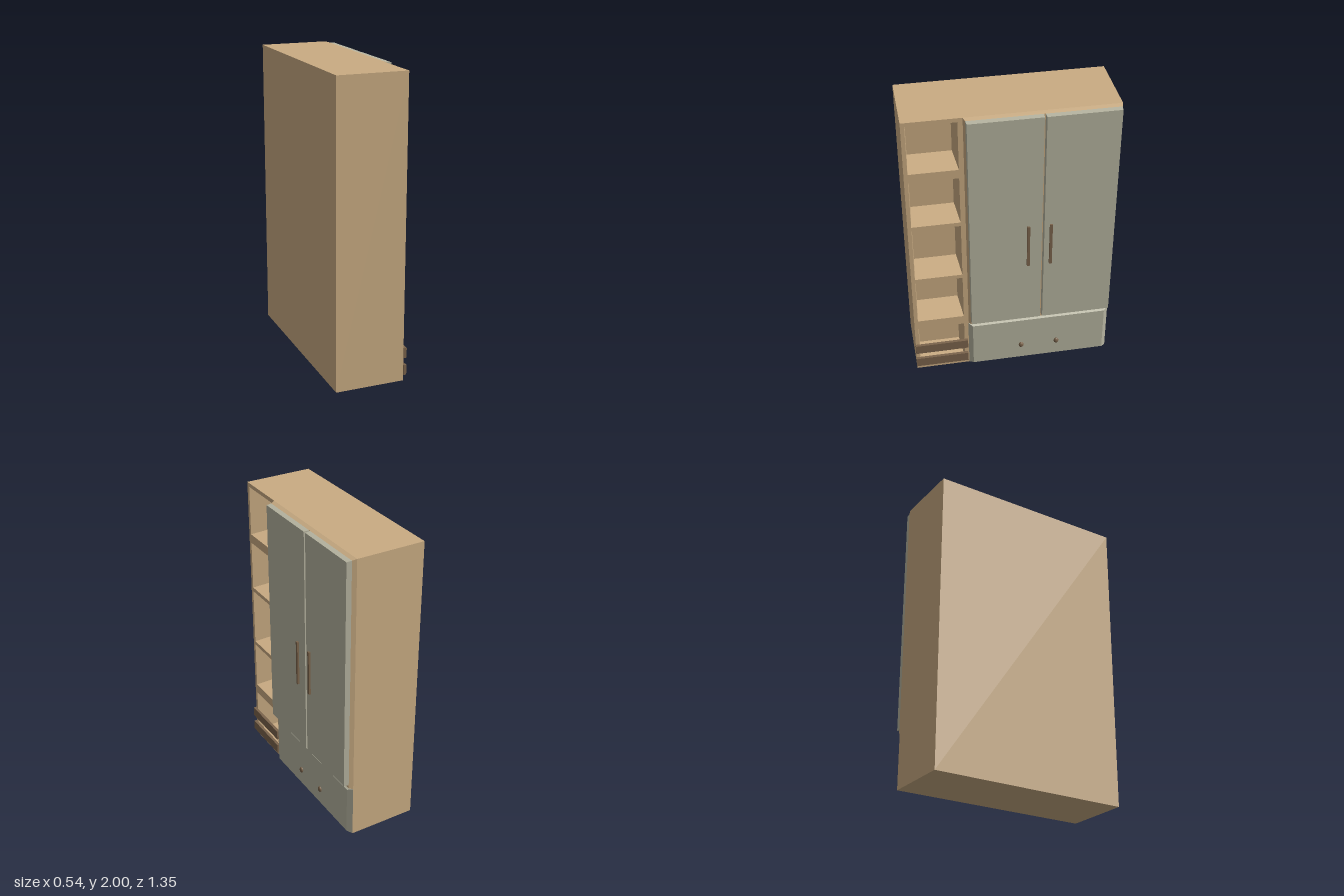
import * as THREE from 'three';

const BACK = -0.27, FRONT = 0.192; // carcass depth range along x
const Z = 0.673, H = 2;            // half width and height

const tanWood = new THREE.MeshStandardMaterial({ color: 0xcaac83 });
tanWood.name = 'tanWood';
const sagePaint = new THREE.MeshStandardMaterial({ color: 0xb6b4a0 });
sagePaint.name = 'sagePaint';
const darkWood = new THREE.MeshStandardMaterial({ color: 0x7b644c });
darkWood.name = 'darkWood';

function add(group, name, geometry, material, x = 0, y = 0, z = 0) {
  const mesh = new THREE.Mesh(geometry, material);
  mesh.name = name;
  mesh.position.set(x, y, z);
  group.add(mesh);
  return mesh;
}

// Rectangle in the facade plane, seen from +x, anticlockwise
const corners = (x, [zMax, zMin, y0, y1]) =>
  [[x, y0, zMax], [x, y0, zMin], [x, y1, zMin], [x, y1, zMax]];

// Four bevelled sides and a cap; a tip behind the base makes a recess instead
function frustum(x0, rect0, x1, rect1) {
  const a = corners(x0, rect0), b = corners(x1, rect1), points = [];
  for (let i = 0; i < 4; i++) {
    const j = (i + 1) % 4;
    points.push(a[i], a[j], b[j], a[i], b[j], b[i]);
  }
  points.push(b[0], b[1], b[2], b[0], b[2], b[3]);
  const geometry = new THREE.BufferGeometry();
  geometry.setAttribute('position', new THREE.Float32BufferAttribute(points.flat(), 3));
  geometry.computeVertexNormals();
  return geometry;
}

const inset = ([zMax, zMin, y0, y1], d) => [zMax - d, zMin + d, y0 + d, y1 - d];

export function createModel() {
  const model = new THREE.Group();
  model.name = 'wardrobe';

  // Carcass: a box without its front face
  const shell = new THREE.BoxGeometry(FRONT - BACK, H, 2 * Z);
  shell.setIndex(Array.from(shell.index.array).slice(6));
  shell.clearGroups();
  add(model, 'carcass', shell, tanWood, (FRONT + BACK) / 2, H / 2, 0);

  // Facade pierced by the shelf niches
  const niches = [[1.634, 1.973], [1.232, 1.572], [0.802, 1.204], [0.435, 0.774], [0.04, 0.367]]
    .map(([y0, y1]) => [0.648, 0.334, y0, y1]);
  const outline = (path, [zMax, zMin, y0, y1]) => path
    .moveTo(-zMax, y0).lineTo(-zMin, y0).lineTo(-zMin, y1).lineTo(-zMax, y1).closePath();
  const facade = new THREE.Shape();
  outline(facade, [Z, -Z, 0, H]);
  for (const niche of niches) {
    const hole = new THREE.Path();
    outline(hole, niche);
    facade.holes.push(hole);
  }
  add(model, 'facade', new THREE.ShapeGeometry(facade).rotateY(Math.PI / 2), tanWood, FRONT);

  // Niches taper slightly towards the back
  for (const niche of niches) {
    add(model, 'shelfNiche', frustum(FRONT, niche, FRONT - 0.2, inset(niche, 0.016)), tanWood);
  }

  // Bevelled frame behind the doors
  add(model, 'doorFrame',
    frustum(FRONT, [0.302, -Z, 0.37, H], 0.22, [0.291, -0.663, 0.378, 1.992]), tanWood);

  // Two doors with a narrow gap between them
  for (const [zMax, zMin] of [[0.291, -0.183], [-0.193, -0.663]]) {
    const rect = [zMax, zMin, 0.405, 1.992];
    add(model, 'door', frustum(0.22, rect, 0.255, inset(rect, 0.003)), sagePaint);
  }

  // Wide drawer with a bevelled front
  add(model, 'drawer',
    frustum(FRONT, [0.305, -Z, 0.001, 0.367], 0.22, [0.278, -0.643, 0.014, 0.354]), sagePaint);

  // Upright door handles
  for (const z of [-0.092, -0.239]) {
    add(model, 'doorHandle', new THREE.BoxGeometry(0.015, 0.315, 0.018), darkWood, 0.2605, 1.033, z);
  }

  // Oval drawer knobs
  for (const z of [-0.058, -0.308]) {
    const knob = add(model, 'drawerKnob', new THREE.SphereGeometry(1, 20, 12), darkWood, 0.225, 0.133, z);
    knob.scale.set(0.012, 0.021, 0.017);
  }

  // Slats across the lowest niche
  for (const y of [0.0715, 0.19]) {
    add(model, 'nicheSlat', new THREE.BoxGeometry(0.02, 0.068, 0.362), darkWood, 0.204, y, 0.494);
  }

  return model;
}
